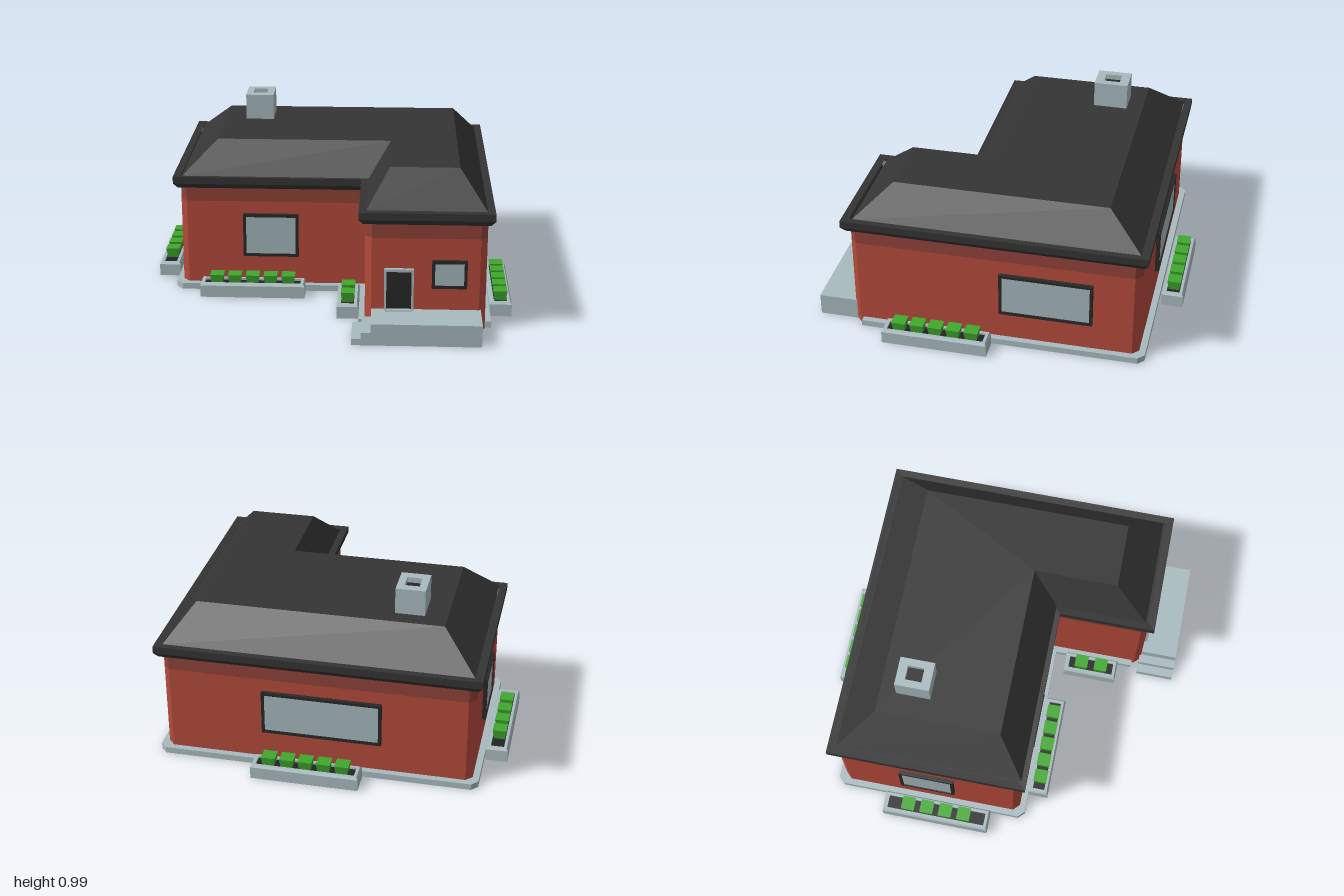
import * as THREE from 'three';

const mat = (name, color, side = THREE.FrontSide) => {
  const m = new THREE.MeshStandardMaterial({ color, side });
  m.name = name;
  return m;
};

// Corner ring of a rectangle in plan
const rect = (x0, x1, z0, z1, inset = 0) => [
  [x0 + inset, z0 + inset], [x0 + inset, z1 - inset],
  [x1 - inset, z1 - inset], [x1 - inset, z0 + inset]];

// Corner ring of the L-shaped plan; index 2 is the inner corner
const lShape = (left, right, back, front, wingLeft, wingFront) => [
  [left, back], [left, front], [wingLeft, front],
  [wingLeft, wingFront], [right, wingFront], [right, back]];

const plan = (d) => lShape(-0.84 - d, 0.845 + d, -0.81 - d, 0.225 + d, 0.205 - d, 0.765 + d);

// Cut every outer corner of an L ring by c
function chamfer(ring, c) {
  const n = ring.length;
  const toward = (p, q) => {
    const l = Math.hypot(q[0] - p[0], q[1] - p[1]);
    return [p[0] + (q[0] - p[0]) * c / l, p[1] + (q[1] - p[1]) * c / l];
  };
  return ring.flatMap((p, i) => i === 2 ? [p]
    : [toward(p, ring[(i + n - 1) % n]), toward(p, ring[(i + 1) % n])]);
}

// Join plan rings, given as [y, ring], with flat faces and optional caps
function loft(levels, capTop = false, capBottom = false) {
  const pos = [];
  const n = levels[0][1].length;
  const put = (level, i) => {
    const [y, ring] = levels[level];
    pos.push(ring[i % n][0], y, ring[i % n][1]);
  };
  for (let l = 0; l < levels.length - 1; l++) {
    for (let i = 0; i < n; i++) {
      put(l, i); put(l, i + 1); put(l + 1, i + 1);
      put(l, i); put(l + 1, i + 1); put(l + 1, i);
    }
  }
  for (let k = 1; k < n - 1; k++) {
    const top = levels.length - 1;
    if (capTop) { put(top, 2); put(top, 2 + k); put(top, 3 + k); }
    if (capBottom) { put(0, 2); put(0, 3 + k); put(0, 2 + k); }
  }
  const g = new THREE.BufferGeometry();
  g.setAttribute('position', new THREE.Float32BufferAttribute(pos, 3));
  g.computeVertexNormals();
  return g;
}

export function createModel() {
  const house = new THREE.Group();
  house.name = 'house';
  const brick = mat('brick red', 0xb54a3b, THREE.DoubleSide);
  const darkBrick = mat('dark brick', 0x8f4239, THREE.DoubleSide);
  const stone = mat('pale stone', 0xa9bbbf, THREE.DoubleSide);
  const glass = mat('window glass', 0xa6b8bc);
  const slate = mat('roof slate', 0x343434, THREE.DoubleSide);
  const dark = mat('dark trim', 0x282828);
  const soilMat = mat('soil', 0x222222, THREE.DoubleSide);
  const leaf = mat('leaf green', 0x40a82e);

  const add = (parent, name, geometry, material, x = 0, y = 0, z = 0) => {
    const m = new THREE.Mesh(geometry, material);
    m.name = name;
    m.position.set(x, y, z);
    parent.add(m);
    return m;
  };
  const block = (parent, name, material, x0, x1, y0, y1, z0, z1) =>
    add(parent, name, new THREE.BoxGeometry(x1 - x0, y1 - y0, z1 - z0), material,
      (x0 + x1) / 2, (y0 + y1) / 2, (z0 + z1) / 2);

  // Walls, open underneath, with a darker band below the eaves
  const wallRing = chamfer(plan(0), 0.035);
  add(house, 'walls', loft([[0, wallRing], [0.52, wallRing]]), brick);
  add(house, 'wallBand', loft([[0.52, wallRing], [0.605, wallRing]]), darkBrick);

  // Plinth strip round the walls, stopping short of the wing front
  const plinthRing = (d) => {
    const r = chamfer(plan(d), 0.035);
    const end = 0.715;
    // start on the right side, go round the back and left to the wing's left side
    return [[0.845 + d, end], r[9], r[10], r[0], r[1], r[2], r[3], r[4], [0.205 - d, end]];
  };
  const strip = [...plinthRing(0.035), ...plinthRing(-0.005).reverse()];
  const plinth = new THREE.ExtrudeGeometry(
    new THREE.Shape(strip.map(([x, z]) => new THREE.Vector2(x, -z))),
    { depth: 0.035, bevelEnabled: false });
  plinth.rotateX(-Math.PI / 2);
  add(house, 'plinth', plinth, stone);

  // Eaves and hipped roof
  add(house, 'eaves', loft([
    [0.6, plan(0.012)], [0.63, plan(0.035)], [0.67, plan(0.035)],
    [0.667, plan(-0.005)]], false, true), slate);
  add(house, 'roof', loft([
    [0.665, lShape(-0.83, 0.84, -0.8, 0.235, 0.21, 0.745)],
    [0.84, lShape(-0.64, 0.7, -0.61, 0.08, 0.33, 0.55)]], true), slate);

  // Chimney with a sunken flue
  const stack = (inset) => rect(-0.52, -0.36, -0.52, -0.33, inset);
  const flue = rect(-0.48, -0.4, -0.47, -0.38);
  add(house, 'chimney', loft([[0.83, stack(0)], [0.985, stack(0)], [0.985, flue], [0.95, flue]]), stone);
  block(house, 'flue', dark, -0.48, -0.4, 0.93, 0.955, -0.47, -0.38);

  // Windows: a frame that passes through the wall and a thin pane
  function addWindow(name, w, h, x, y, z, turn) {
    const g = new THREE.Group();
    g.name = name;
    const border = 0.016;
    const outline = (P, a, b) => new P([[-a, -b], [a, -b], [a, b], [-a, b]]
      .map(([u, v]) => new THREE.Vector2(u, v)));
    const shape = outline(THREE.Shape, w / 2, h / 2);
    shape.holes.push(outline(THREE.Path, w / 2 - border, h / 2 - border));
    add(g, 'windowFrame', new THREE.ExtrudeGeometry(shape, { depth: 0.037, bevelEnabled: false }),
      dark, 0, 0, -0.015);
    add(g, 'windowPane', new THREE.PlaneGeometry(w - 2 * border, h - 2 * border), glass, 0, 0, 0.016);
    g.position.set(x, y, z);
    g.rotation.y = turn;
    house.add(g);
  }
  addWindow('frontWindow', 0.31, 0.25, -0.335, 0.325, 0.225, 0);
  addWindow('wingWindow', 0.185, 0.155, 0.65, 0.325, 0.765, 0);
  addWindow('leftSideWindow', 0.505, 0.25, 0.845, 0.32, -0.307, Math.PI / 2);
  addWindow('rightSideWindow', 0.31, 0.25, -0.84, 0.325, -0.305, -Math.PI / 2);
  addWindow('backWindow', 0.65, 0.25, -0.025, 0.325, -0.81, Math.PI);

  // Door with stone surround and threshold
  block(house, 'doorLeaf', dark, 0.318, 0.452, 0.115, 0.338, 0.755, 0.775);
  block(house, 'doorJamb', stone, 0.307, 0.319, 0.11, 0.352, 0.75, 0.785);
  block(house, 'doorJamb', stone, 0.451, 0.463, 0.11, 0.352, 0.75, 0.785);
  block(house, 'doorLintel', stone, 0.307, 0.463, 0.337, 0.352, 0.75, 0.785);
  block(house, 'threshold', stone, 0.315, 0.455, 0.115, 0.126, 0.76, 0.8);

  // Porch platform with two side steps
  block(house, 'porch', stone, 0.24, 0.82, 0, 0.12, 0.757, 0.97);
  block(house, 'upperStep', stone, 0.19, 0.24, 0, 0.07, 0.757, 0.97);
  block(house, 'lowerStep', stone, 0.14, 0.19, 0, 0.035, 0.757, 0.97);

  // Planters: bevelled stone troughs, soil and clipped shrubs
  function addPlanter(name, x0, x1, z0, z1, count, spacing) {
    const g = new THREE.Group();
    g.name = name;
    const r = (inset) => rect(x0, x1, z0, z1, inset);
    add(g, 'trough', loft([[0, r(0)], [0.068, r(0)], [0.08, r(0.008)],
      [0.08, r(0.024)], [0.055, r(0.024)]]), stone);
    block(g, 'soil', soilMat, x0 + 0.022, x1 - 0.022, 0.06, 0.068, z0 + 0.022, z1 - 0.022);
    const alongX = x1 - x0 > z1 - z0;
    const shrub = loft([[0.055, rect(-0.028, 0.028, -0.028, 0.028)],
      [0.124, rect(-0.038, 0.038, -0.038, 0.038)]], true, true);
    for (let i = 0; i < count; i++) {
      const t = (i - (count - 1) / 2) * spacing;
      add(g, 'shrub', shrub, leaf, (x0 + x1) / 2 + (alongX ? t : 0), 0, (z0 + z1) / 2 + (alongX ? 0 : t));
    }
    house.add(g);
  }
  addPlanter('frontPlanter', -0.725, -0.14, 0.257, 0.372, 5, 0.1);
  addPlanter('wingPlanter', 0.05, 0.168, 0.325, 0.635, 2, 0.115);
  addPlanter('leftPlanter', 0.88, 1.0, -0.015, 0.565, 5, 0.1);
  addPlanter('rightPlanter', -1.0, -0.88, -0.55, 0.065, 4, 0.108);
  addPlanter('backPlanter', -0.255, 0.33, -0.98, -0.86, 5, 0.1);

  return house;
}
